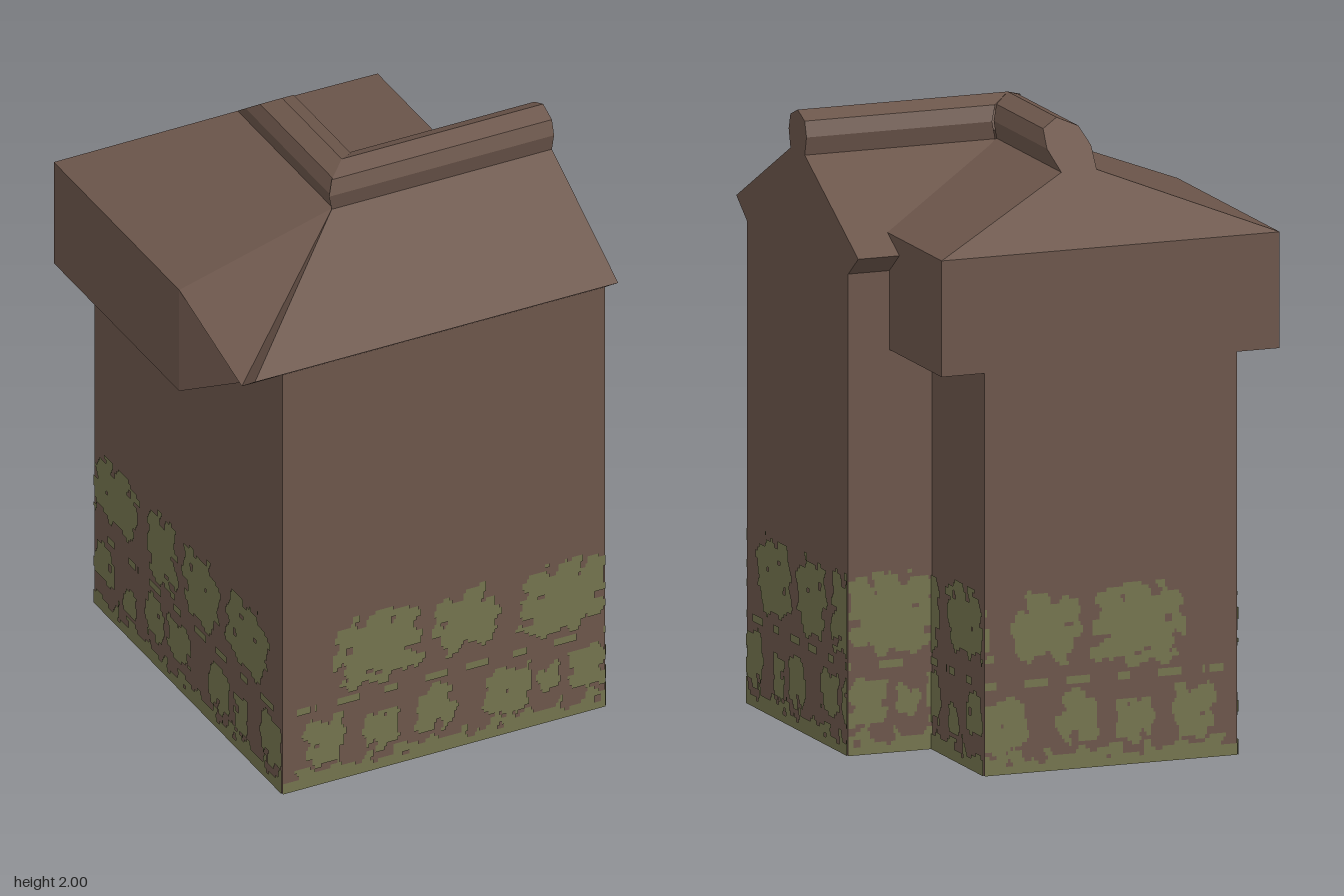
import * as THREE from 'three';

const stone = new THREE.MeshStandardMaterial({ color: 0x6b554a, side: THREE.DoubleSide });
stone.name = 'brown stone';
const moss = new THREE.MeshStandardMaterial({ color: 0x73734d, side: THREE.DoubleSide });
moss.name = 'green moss';

// Flat-shaded mesh from a list of triangles or quads
function facesMesh(name, faces, material = stone) {
  const pos = [];
  for (const f of faces) {
    for (let i = 1; i < f.length - 1; i++) pos.push(...f[0], ...f[i], ...f[i + 1]);
  }
  const g = new THREE.BufferGeometry();
  g.setAttribute('position', new THREE.Float32BufferAttribute(pos, 3));
  g.computeVertexNormals();
  const mesh = new THREE.Mesh(g, material);
  mesh.name = name;
  return mesh;
}

// Quads joining two open cross-sections
function loft(a, b) {
  const faces = [];
  for (let i = 0; i < a.length - 1; i++) faces.push([a[i], a[i + 1], b[i + 1], b[i]]);
  return faces;
}

// Triangles closing a cross-section, given its outline and the matching 3D points
function cap(outline, points) {
  const flat = outline.map(([u, v]) => new THREE.Vector2(u, v));
  return THREE.ShapeUtils.triangulateShape(flat, []).map((t) => t.map((i) => points[i]));
}

// Four walls without floor or lid
function walls(name, x0, x1, z0, z1, h) {
  const loop = [[x0, z0], [x0, z1], [x1, z1], [x1, z0], [x0, z0]];
  return facesMesh(name, loft(loop.map(([x, z]) => [x, 0, z]), loop.map(([x, z]) => [x, h, z])));
}

// Moss patches [centre along wall, centre height, half width, half height]
const patchesX = [
  [-0.16, 0.45, 0.15, 0.125], [0.15, 0.46, 0.11, 0.11], [0.5, 0.45, 0.15, 0.125],
  [-0.35, 0.16, 0.07, 0.09], [-0.15, 0.14, 0.06, 0.07], [0.04, 0.17, 0.07, 0.08],
  [0.3, 0.16, 0.08, 0.09], [0.44, 0.17, 0.04, 0.05], [0.58, 0.17, 0.07, 0.08],
];
const patchesZ = [
  [0.36, 0.45, 0.14, 0.125], [0.05, 0.45, 0.12, 0.125], [-0.22, 0.45, 0.1, 0.125],
  [-0.54, 0.47, 0.15, 0.11], [0.53, 0.16, 0.07, 0.09], [0.32, 0.14, 0.05, 0.07],
  [0.17, 0.15, 0.07, 0.08], [-0.1, 0.18, 0.08, 0.07], [-0.27, 0.17, 0.06, 0.08],
  [-0.44, 0.13, 0.05, 0.05], [-0.62, 0.18, 0.07, 0.07],
];

function isMossy(u, v, patches) {
  const noise = Math.sin(u * 37 + v * 23) * Math.sin(v * 47 - u * 19) + 0.6 * Math.sin(u * 83 + v * 31) * Math.sin(v * 89 - u * 29);
  if (v < 0.055 + 0.03 * noise) return true;
  if (Math.abs(v - 0.285) < 0.012 && Math.sin(u * 41) + 0.5 * Math.sin(u * 97) > 0.25) return true;
  return patches.some(([cu, cv, hu, hv]) =>
    ((u - cu) / hu) ** 4 + ((v - cv) / hv) ** 4 + 0.7 * noise < 0.9);
}

// Thin moss layer on both sides of a wall, made of horizontal runs
function mossOnWall(name, alongX, at, u0, u1) {
  const patches = alongX ? patchesX : patchesZ;
  const point = (u, v, c) => (alongX ? [u, v, c] : [c, v, u]);
  const faces = [];
  const dv = 0.0125, n = Math.round((u1 - u0) / 0.008), du = (u1 - u0) / n;
  for (let v = 0; v < 0.585; v += dv) {
    let start = -1;
    for (let i = 0; i <= n; i++) {
      const on = i < n && isMossy(u0 + (i + 0.5) * du, v + dv / 2, patches);
      if (on && start < 0) start = i;
      if (!on && start >= 0) {
        const a = u0 + start * du, b = u0 + i * du;
        for (const c of [at - 0.004, at + 0.004]) {
          faces.push([point(a, v, c), point(b, v, c), point(b, v + dv, c), point(a, v + dv, c)]);
        }
        start = -1;
      }
    }
  }
  return facesMesh(name, faces, moss);
}

// Both ridges meet on one mitre plane
const mitreX = (z) => -0.07 - (z - 0.175) * 1.117;
const mitreZ = (x) => 0.175 - (x + 0.07) / 1.117;

export function createModel() {
  const model = new THREE.Group();
  model.name = 'mossyBuilding';

  // Wall shells
  const shells = [
    ['main', -0.5, 0.645, -0.25, 0.6, 1.555],
    ['wing', -0.5, 0.36, -0.69, 0.17, 1.3],
  ];
  for (const [name, x0, x1, z0, z1, h] of shells) {
    model.add(walls(name + 'Walls', x0, x1, z0, z1, h));
    for (const z of [z0, z1]) model.add(mossOnWall(name + 'Moss', true, z, x0, x1));
    for (const x of [x0, x1]) model.add(mossOnWall(name + 'Moss', false, x, z0, z1));
  }

  // Main gable roof with rounded ridge, section in (z, y)
  const gable = [
    [0.6, 1.555], [0.69, 1.62], [0.235, 1.865], [0.25, 1.925], [0.235, 1.975], [0.175, 2],
    [0.115, 1.975], [0.1, 1.925], [0.115, 1.865], [-0.335, 1.62], [-0.25, 1.555],
  ];
  const gableEnd = gable.map(([z, y]) => [0.645, y, z]);
  const gableMitre = gable.map(([z, y], i) => [i === 0 ? -0.645 : mitreX(z), y, z]);
  model.add(facesMesh('mainRoof', loft(gableEnd, gableMitre)));
  model.add(facesMesh('gableWall', cap(gable, gableEnd)));

  // Wing roof with overhanging upper storey, section in (x, y)
  const wing = [
    [-0.5, 1.3], [-0.645, 1.3], [-0.645, 1.675], [-0.13, 1.865], [-0.145, 1.925], [-0.13, 1.975],
    [-0.07, 2], [-0.01, 1.975], [0.005, 1.925], [-0.01, 1.865], [0.505, 1.675], [0.505, 1.3], [0.36, 1.3],
  ];
  const wingBack = wing.map(([x, y]) => [x, y, -0.69 + Math.max(0, y - 1.675) * 1.4]);
  const wingFront = wing.map(([x, y]) => [x, y, y > 1.68 ? mitreZ(x) : 0.17]);
  model.add(facesMesh('wingRoof', loft(wingBack, wingFront)));
  model.add(facesMesh('hipSlope', cap(wing.slice(2, 11), wingBack.slice(2, 11))));
  for (const z of [-0.69, 0.17]) {
    model.add(facesMesh('overhangEnd', [
      [[-0.645, 1.3, z], [0.505, 1.3, z], [0.505, 1.675, z], [-0.645, 1.675, z]],
    ]));
  }

  // Small faces closing the corner between the two roofs
  const neck = gableMitre[2], eave = gableMitre[1], under = gableMitre[0];
  const top = [-0.645, 1.675, 0.17], low = [-0.645, 1.3, 0.17];
  const inner = [-0.5, 1.3, 0.17], knee = [-0.545, 1.555, 0.6], wallTop = [-0.5, 1.555, 0.6];
  model.add(facesMesh('roofCorner', [
    [neck, under, eave], [wingFront[3], top, under, neck], [top, knee, under],
    [top, low, knee], [low, inner, knee], [inner, wallTop, knee],
  ]));

  return model;
}
